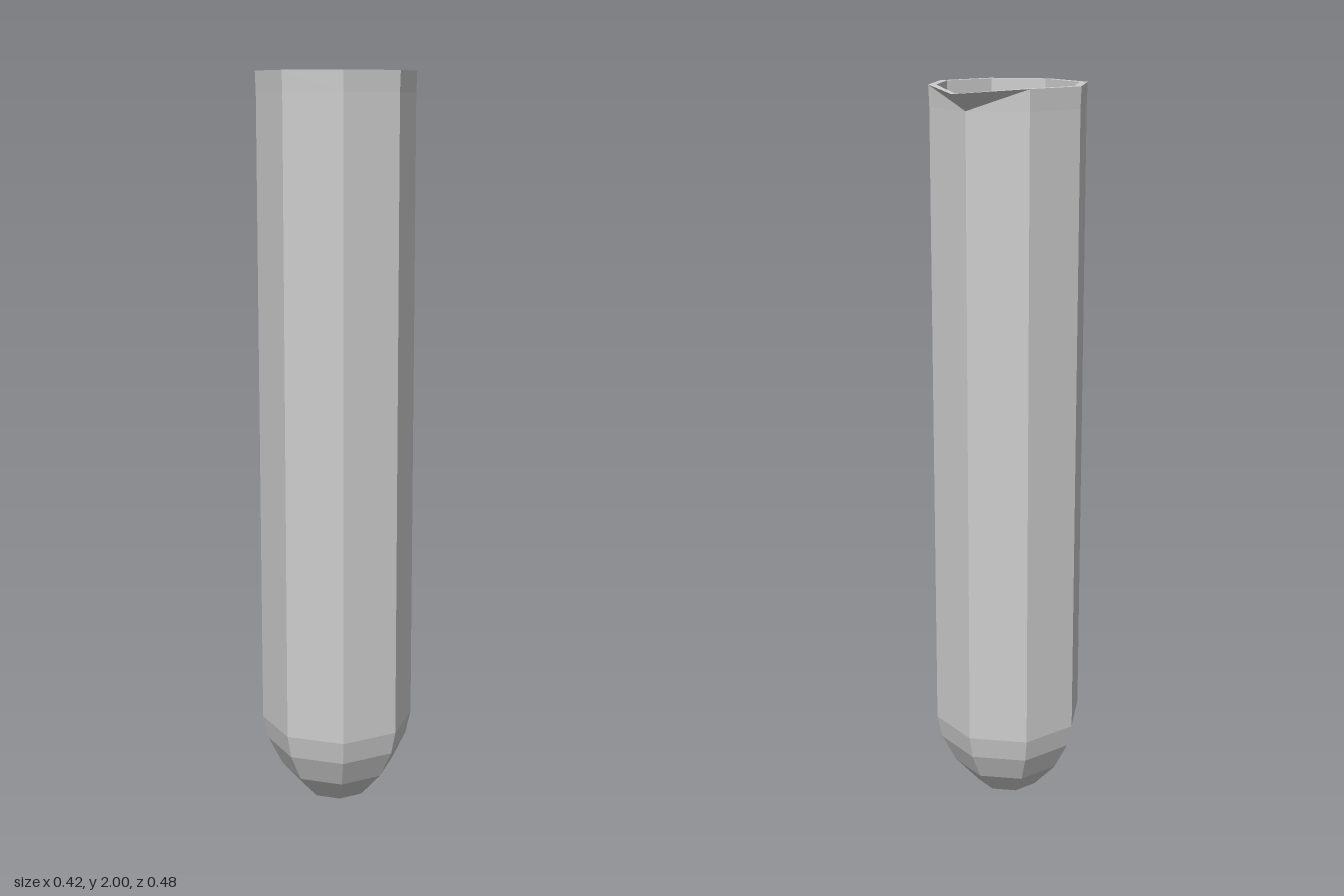
import * as THREE from 'three';

const SIDES = 8;
const CENTRE_Z = 0.03;

// Wall profile [radius, height, lip reach, lip drop]: up the outside, over the rim, down the inside
const PROFILE = [
  [0, 0], [0.09, 0], [0.157, 0.075], [0.197, 0.155], [0.211, 0.22],
  [0.209, 1.945], [0.211, 2, 0.061, 0.01],
  [0.19, 2, 0.064, 0.01], [0.19, 1.945], [0.19, 0.22], [0, 0.22],
];
const RIM = 6; // profile index where the outside ends

// Point on ring j at side i; the rear corner of the rim is pulled out into a pouring lip
function ringPoint(j, i) {
  const [r, y, reach = 0, drop = 0] = PROFILE[j];
  const rear = i === SIDES / 2;
  const radius = r + (rear ? reach : 0);
  const a = (i / SIDES) * Math.PI * 2;
  return [radius * Math.sin(a), y - (rear ? drop : 0), radius * Math.cos(a) + CENTRE_Z];
}

function tubeGeometry() {
  const positions = [];
  const tri = (...corners) => corners.forEach((p) => positions.push(...p));
  for (let j = 0; j < PROFILE.length - 1; j++) {
    for (let i = 0; i < SIDES; i++) {
      const a = ringPoint(j, i), b = ringPoint(j, i + 1);
      const c = ringPoint(j + 1, i + 1), d = ringPoint(j + 1, i);
      if (PROFILE[j][0] === 0) tri(a, c, d);
      else if (PROFILE[j + 1][0] === 0) tri(a, b, c);
      // Mirror the diagonals so both halves of the lip fold alike
      else if ((i < SIDES / 2) === (j < RIM)) {
        tri(a, b, d);
        tri(b, c, d);
      } else {
        tri(a, b, c);
        tri(a, c, d);
      }
    }
  }
  const geometry = new THREE.BufferGeometry();
  geometry.setAttribute('position', new THREE.Float32BufferAttribute(positions, 3));
  geometry.computeVertexNormals();
  return geometry;
}

export function createModel() {
  const model = new THREE.Group();
  model.name = 'testTube';

  const grey = new THREE.MeshStandardMaterial({ color: 0xcccccc, flatShading: true });
  grey.name = 'lightGrey';

  // Hollow faceted tube with rounded base and pouring lip
  const tube = new THREE.Mesh(tubeGeometry(), grey);
  tube.name = 'tubeBody';
  model.add(tube);

  return model;
}
